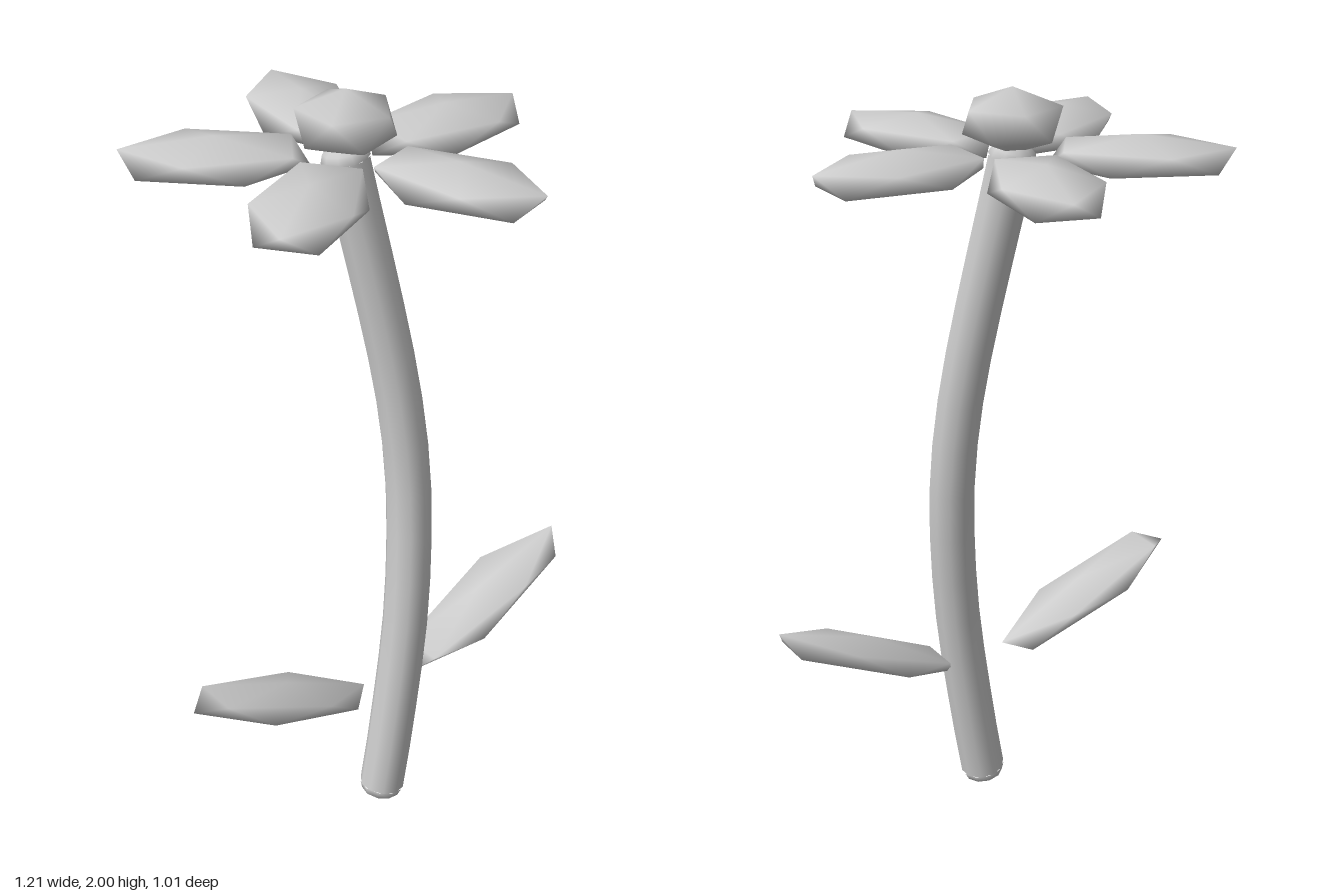
import * as THREE from 'three';

// Smooth-shaded icosahedron with a vertex at each pole and an upper-ring vertex on +x
function facetedBlob(rx, ry, rz) {
  const ringR = 2 / Math.sqrt(5), ringY = 1 / Math.sqrt(5);
  const pos = [0, ry, 0];
  for (const [y, start] of [[ringY, 0], [-ringY, Math.PI / 5]]) {
    for (let i = 0; i < 5; i++) {
      const a = start + i * Math.PI * 0.4;
      pos.push(rx * ringR * Math.cos(a), ry * y, -rz * ringR * Math.sin(a));
    }
  }
  pos.push(0, -ry, 0);
  const index = [];
  for (let i = 0; i < 5; i++) {
    const u = 1 + i, un = 1 + (i + 1) % 5, l = 6 + i, ln = 6 + (i + 1) % 5;
    index.push(0, u, un, u, l, un, un, l, ln, l, 11, ln);
  }
  const geo = new THREE.BufferGeometry();
  geo.setAttribute('position', new THREE.Float32BufferAttribute(pos, 3));
  geo.setIndex(index);
  geo.computeVertexNormals();
  return geo;
}

export function createModel() {
  const model = new THREE.Group();
  model.name = 'flower';
  const grey = new THREE.MeshStandardMaterial({ color: 0xcccccc });
  grey.name = 'plain grey';

  const add = (name, geo, x, y, z, parent = model) => {
    const mesh = new THREE.Mesh(geo, grey);
    mesh.name = name;
    mesh.position.set(x, y, z);
    parent.add(mesh);
    return mesh;
  };

  // Curved stem
  const path = new THREE.CatmullRomCurve3([
    [0.005, 0.045, 0.167], [0.035, 0.22, 0.166], [0.09, 0.6, 0.156], [0.115, 0.95, 0.126],
    [0.103, 1.2, 0.097], [0.075, 1.42, 0.065], [0.012, 1.8, 0.008], [0.008, 1.83, 0.003],
  ].map(p => new THREE.Vector3(...p)));
  const stemR = 0.06;
  add('stem', new THREE.TubeGeometry(path, 14, stemR, 10), 0, 0, 0);

  // Rounded stem ends
  for (const [name, t, sign] of [['stemBase', 0, -1], ['stemTop', 1, 1]]) {
    const dome = new THREE.SphereGeometry(stemR, 10, 3, 0, Math.PI * 2, 0, Math.PI / 2);
    dome.scale(1, 0.72, 1);
    const p = path.getPoint(t);
    const cap = add(name, dome, p.x, p.y, p.z);
    cap.quaternion.setFromUnitVectors(new THREE.Vector3(0, 1, 0),
      path.getTangent(t).multiplyScalar(sign));
  }

  // Flower head: centre and five radiating petals
  const head = new THREE.Group();
  head.name = 'flowerHead';
  head.position.set(0.01, 0, 0);
  model.add(head);
  add('flowerCentre', facetedBlob(0.134, 0.08, 0.134), 0, 1.92, 0, head);
  const petalGeo = facetedBlob(0.25, 0.053, 0.14);
  for (let i = 0; i < 5; i++) {
    const a = i * Math.PI * 0.4;
    const petal = add('petal', petalGeo, 0.305 * Math.cos(a), 1.839, -0.305 * Math.sin(a), head);
    petal.rotation.y = a;
  }

  // Two leaves tilted up and away from the stem
  const leafGeo = facetedBlob(0.316, 0.045, 0.106);
  add('leftLeaf', leafGeo, 0.355, 0.51, 0.167).rotation.z = 0.405;
  add('rightLeaf', leafGeo, -0.33, 0.506, 0.167).rotation.z = -0.39;

  return model;
}
